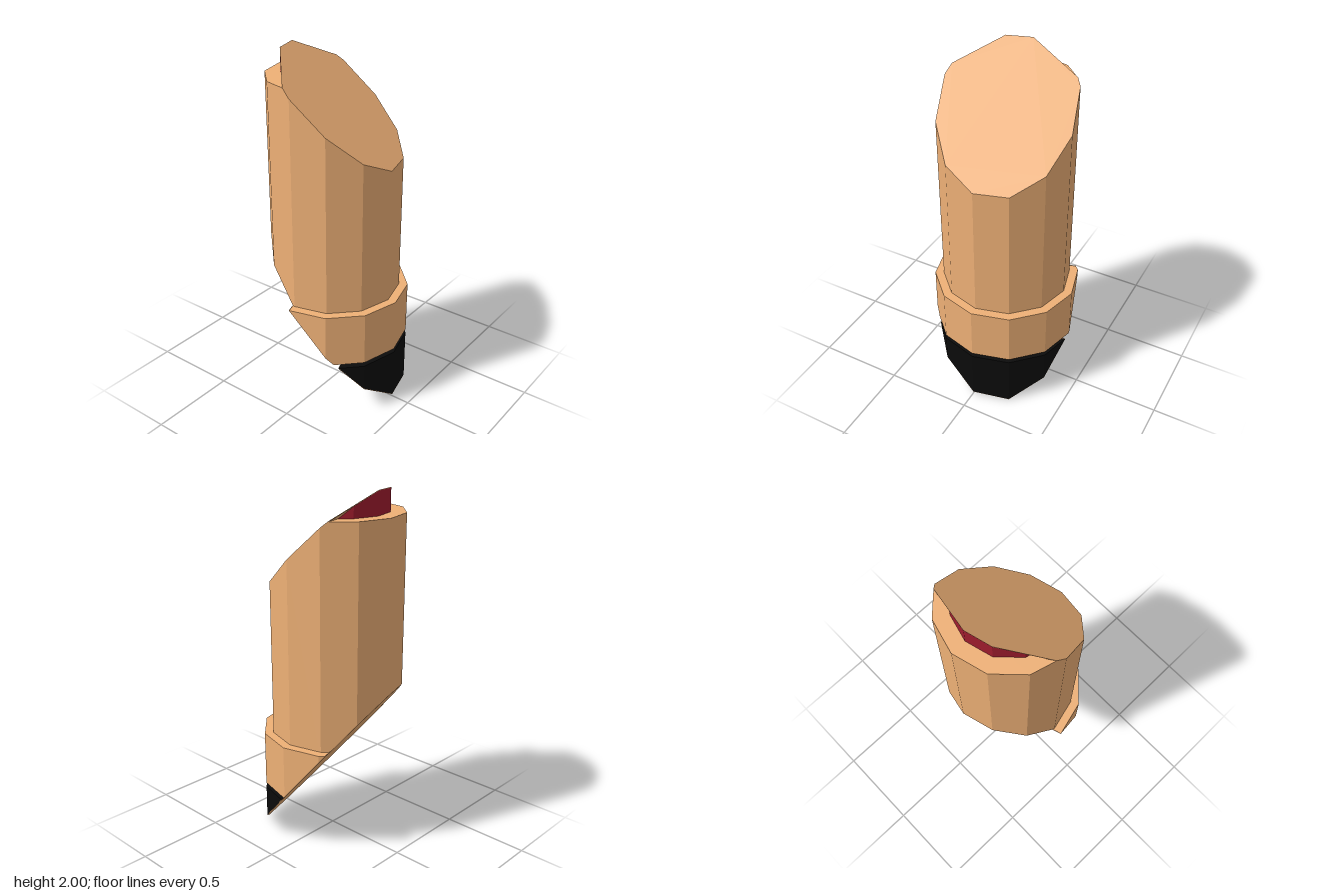
import * as THREE from 'three';
import { ConvexGeometry } from 'three/addons/geometries/ConvexGeometry.js';

const TAN = 0xeeb076, RED = 0xa01c2e, BLACK = 0x0b0b0b;
const SIDES = 12, CENTRE_Z = -0.03;

// Height of each slanted cut above (x, z)
const topCut = (x, z) => 1.42 + 0.89 * (0.34 - z) - 0.22 * x;
const bottomCut = (x, z) => 0.013 + 1.15 * (0.39 - z) - 0.36 * x;
const belowTop = (p) => topCut(p.x, p.z) - p.y;
const aboveBottom = (p) => p.y - bottomCut(p.x, p.z);

// Corners of a twelve-sided prism after both slanted cuts
function cutPrism(r, y0, y1) {
  const corner = (i, y) => {
    const a = (i / SIDES) * Math.PI * 2;
    return new THREE.Vector3(Math.sin(a) * r, y, CENTRE_Z + Math.cos(a) * r);
  };
  const points = [];
  const add = (p) => {
    if (!points.some((q) => q.distanceTo(p) < 1e-5)) points.push(p);
  };
  const clipEdge = (a, b) => {
    let t0 = 0, t1 = 1;
    for (const side of [belowTop, aboveBottom]) {
      const da = side(a), db = side(b);
      if (da < 0 && db < 0) return;
      if (da < 0) t0 = Math.max(t0, da / (da - db));
      else if (db < 0) t1 = Math.min(t1, da / (da - db));
    }
    if (t0 > t1) return;
    add(a.clone().lerp(b, t0));
    add(a.clone().lerp(b, t1));
  };
  for (let i = 0; i < SIDES; i++) {
    clipEdge(corner(i, y0), corner(i, y1));
    clipEdge(corner(i, y0), corner(i + 1, y0));
    clipEdge(corner(i, y1), corner(i + 1, y1));
  }
  return points;
}

function hull(name, points, color) {
  const material = new THREE.MeshStandardMaterial({ color, flatShading: true });
  const mesh = new THREE.Mesh(new ConvexGeometry(points), material);
  mesh.name = name;
  return mesh;
}

// Thin tan plate lying over a slanted cut
function plate(name, points, distance) {
  const rim = points.filter((p) => Math.abs(distance(p)) < 1e-4);
  const both = rim.flatMap((p) => [-0.002, 0.002].map((d) => p.clone().setY(p.y + d)));
  return hull(name, both, TAN);
}

export function createModel() {
  const group = new THREE.Group();
  group.name = 'slicedCylinder';

  const body = cutPrism(0.37, 0.3, 1.875);
  const collar = cutPrism(0.42, 0.335, 0.645);
  const base = cutPrism(0.42, -0.1, 0.31);
  const core = cutPrism(0.285, 1.8, 2.2);

  // Main solids
  group.add(
    hull('body', body, TAN),
    hull('collar', collar, TAN),
    hull('base', base, BLACK),
    hull('core', core, RED),
  );

  // Cut faces
  group.add(
    plate('topCutFace', [...body, ...core], belowTop),
    plate('bodyCutFace', body, aboveBottom),
    plate('collarCutFace', collar, aboveBottom),
    plate('baseCutFace', base, aboveBottom),
  );
  return group;
}
